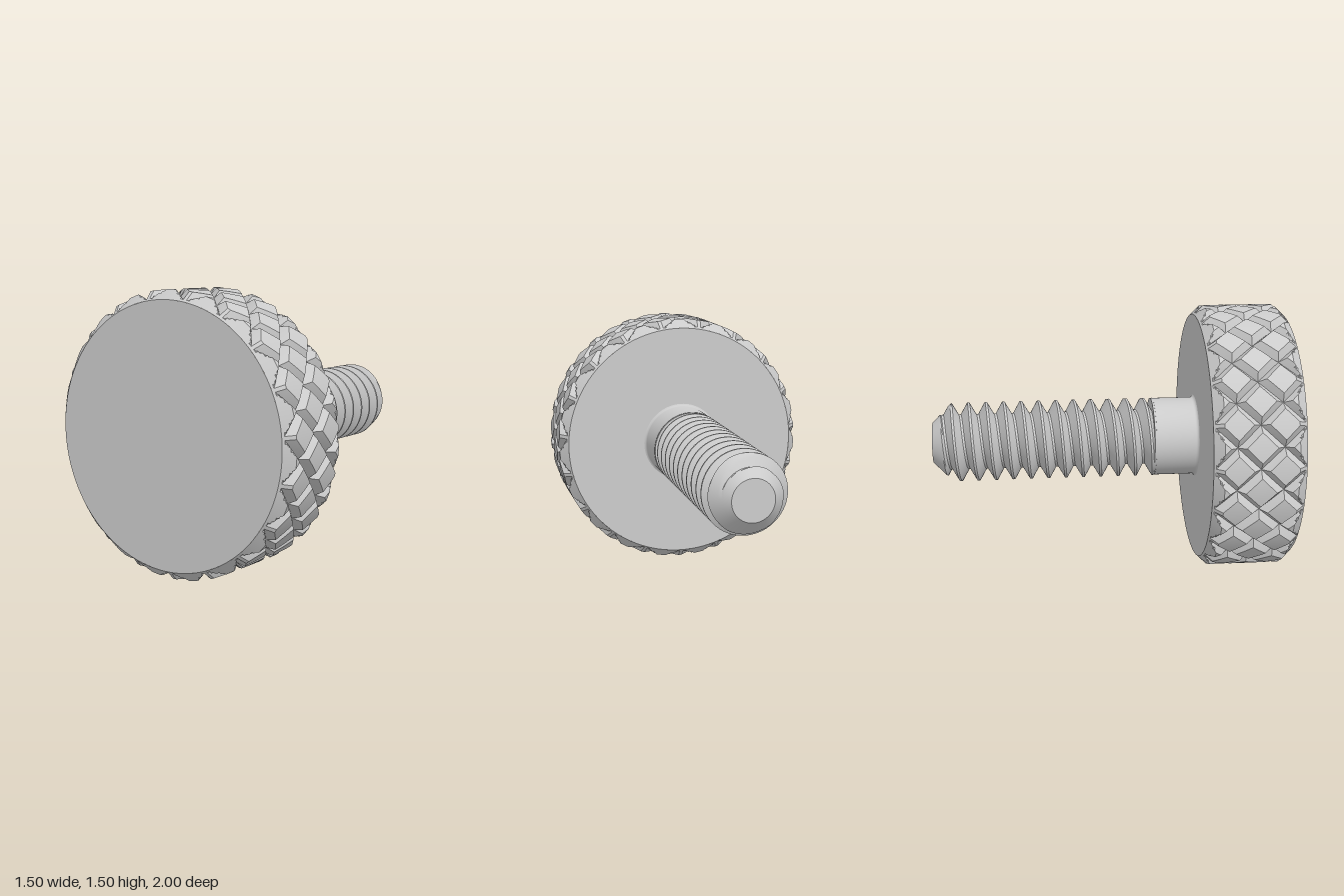
import * as THREE from 'three';
import { toCreasedNormals } from 'three/addons/utils/BufferGeometryUtils.js';

const material = new THREE.MeshStandardMaterial({ color: 0xcccccc });
const AXIS_Y = 0.75; // height of the screw axis, which runs along z
const clamp = THREE.MathUtils.clamp;

// Tube-like surface round z; point(i, j) gives [radius, z].
// Alternating diagonals let creases run cleanly in both diagonal directions.
function revolvedGrid(nu, nv, point, crease) {
  const positions = [], index = [];
  for (let j = 0; j <= nv; j++) {
    for (let i = 0; i <= nu; i++) {
      const [r, z] = point(i, j);
      const angle = (i % nu) / nu * Math.PI * 2 - Math.PI / 2;
      positions.push(r * Math.cos(angle), r * Math.sin(angle), z);
    }
  }
  for (let j = 0; j < nv; j++) {
    for (let i = 0; i < nu; i++) {
      const a = j * (nu + 1) + i, b = a + 1, d = a + nu + 1, c = d + 1;
      if ((i + j) % 2 === 0) index.push(a, b, c, a, c, d);
      else index.push(a, b, d, b, c, d);
    }
  }
  const geometry = new THREE.BufferGeometry();
  geometry.setAttribute('position', new THREE.Float32BufferAttribute(positions, 3));
  geometry.setIndex(index);
  // enlarged while creasing so that close vertices stay distinct
  geometry.scale(100, 100, 100);
  return toCreasedNormals(geometry, crease).scale(0.01, 0.01, 0.01);
}

function addMesh(parent, name, geometry) {
  const mesh = new THREE.Mesh(geometry, material);
  mesh.name = name;
  parent.add(mesh);
  return mesh;
}

function makeHead() {
  const head = new THREE.Group();
  head.name = 'knurledHead';
  const R = 0.75, rim = 0.05, back = 0.5, front = 1;
  const grooves = 19, period = 24, rows = 48, halfWidth = 4, depth = 0.04;

  // distance in cells to the nearest groove line
  const toGroove = (n) => {
    const m = ((n % period) + period) % period;
    return Math.min(m, period - m);
  };

  // crossed V grooves with a chamfer at both rims
  const knurl = revolvedGrid(grooves * period, rows, (i, j) => {
    const z = back + (front - back) * j / rows;
    const row = j - rows / 2;
    const d = Math.min(toGroove(i + row), toGroove(i - row));
    const grooved = R - depth * Math.max(0, 1 - d / halfWidth);
    const chamfered = R - rim * Math.max(0, 1 - Math.min(j, rows - j) / 5);
    return [Math.min(grooved, chamfered), z];
  }, 0.4);
  addMesh(head, 'knurledRim', knurl);

  // flat faces
  const disc = new THREE.CircleGeometry(R - rim, grooves * 8);
  addMesh(head, 'frontFace', disc).position.z = front;
  const backFace = addMesh(head, 'backFace', disc);
  backFace.position.z = back;
  backFace.rotation.y = Math.PI;
  return head;
}

function makeShank() {
  // plain shank with a small fillet where it meets the head
  const profile = [[0, 0.25], [0.222, 0.25], [0.222, 0.483], [0.224, 0.491], [0.23, 0.498], [0.238, 0.501]];
  const geometry = new THREE.LatheGeometry(profile.map(([r, z]) => new THREE.Vector2(r, z)), 96);
  geometry.rotateX(Math.PI / 2);
  return toCreasedNormals(geometry.scale(100, 100, 100), 0.6).scale(0.01, 0.01, 0.01);
}

function makeThread() {
  // right-handed helical ridge, trimmed by a cone at the tip
  const pitch = 0.1, steps = 16, turns = 14, sides = 72;
  const root = 0.158, crest = 0.224, tip = 0.115;
  return revolvedGrid(sides, turns * steps, (i, j) => {
    const z = clamp(-1.14 + pitch * (j / steps + i / sides), -1, 0.26);
    const fromCrest = Math.abs(((j + steps / 2) % steps) / steps - 0.5) * 2;
    const ridge = crest - (crest - root) * clamp((fromCrest - 0.125) / 0.75, 0, 1);
    return [Math.min(ridge, tip + z + 1), z];
  }, 0.5);
}

export function createModel() {
  const model = new THREE.Group();
  model.name = 'thumbScrew';
  const screw = new THREE.Group();
  screw.name = 'screw';
  screw.position.y = AXIS_Y;
  model.add(screw);

  screw.add(makeHead());
  addMesh(screw, 'shank', makeShank());
  addMesh(screw, 'thread', makeThread());

  // flat end of the threaded rod
  const end = addMesh(screw, 'threadTip', new THREE.CircleGeometry(0.115, 72));
  end.position.z = -1;
  end.rotation.y = Math.PI;
  return model;
}
